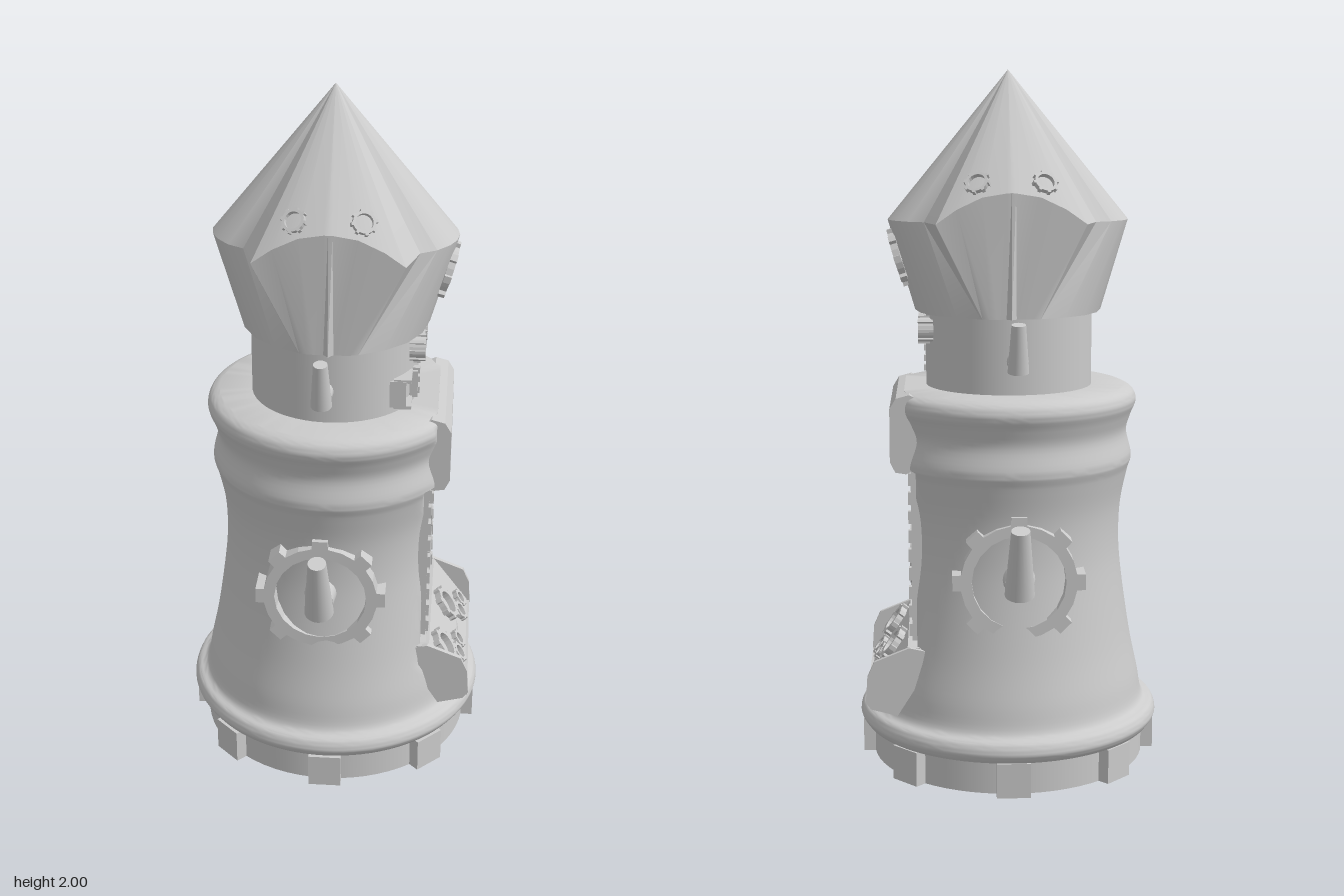
import * as THREE from 'three';
import { toCreasedNormals } from 'three/addons/utils/BufferGeometryUtils.js';

const mat = new THREE.MeshStandardMaterial({ color: 0xcccccc, side: THREE.DoubleSide });
const V = (x, y, z) => new THREE.Vector3(x, y, z);

function add(parent, name, geo, x = 0, y = 0, z = 0) {
  const m = new THREE.Mesh(geo, mat);
  m.name = name;
  m.position.set(x, y, z);
  parent.add(m);
  return m;
}

// Flat toothed ring, extruded along +z
function cogGeometry(outer, inner, depth, toothHeight, teeth = 8) {
  const shape = new THREE.Shape();
  const step = (Math.PI * 2) / teeth;
  for (let i = 0; i < teeth; i++) {
    [[-0.18, 0], [-0.15, 1], [0.15, 1], [0.18, 0], [0.5, 0]].forEach(([f, t], j) => {
      const a = Math.PI / 2 + (i + f) * step, r = outer + t * toothHeight;
      shape[i + j ? 'lineTo' : 'moveTo'](Math.cos(a) * r, Math.sin(a) * r);
    });
  }
  shape.closePath();
  if (inner > 0) {
    const hole = new THREE.Path();
    hole.absarc(0, 0, inner, 0, Math.PI * 2, true);
    shape.holes.push(hole);
  }
  return new THREE.ExtrudeGeometry(shape, { depth, bevelEnabled: false, curveSegments: 10 });
}

// Toothed ring set on a surface, facing along a normal
function cog(parent, name, pos, normal, outer, inner, depth = 0.016) {
  const m = add(parent, name, cogGeometry(outer * 0.86, inner, depth, outer * 0.14), pos.x, pos.y, pos.z);
  m.lookAt(pos.clone().add(normal));
  return m;
}

// Large rosette: rim, inner ring and hub
function rosette(parent, name, pos, normal, r) {
  cog(parent, name + 'Rim', pos, normal, r, r * 0.68, 0.02);
  cog(parent, name + 'InnerRing', pos, normal, r * 0.56, r * 0.32, 0.018);
  cog(parent, name + 'Hub', pos, normal, r * 0.22, 0, 0.016);
}

// Cylinder between two points
function rod(parent, name, a, b, ra, rb) {
  const d = b.clone().sub(a);
  const m = add(parent, name, new THREE.CylinderGeometry(rb, ra, d.length(), 20));
  m.position.copy(a).lerp(b, 0.5);
  m.quaternion.setFromUnitVectors(V(0, 1, 0), d.normalize());
}

// Prism with an x-y profile, running along z
function prism(points, depth) {
  const s = new THREE.Shape(points.map(([x, y]) => new THREE.Vector2(x, y)));
  return new THREE.ExtrudeGeometry(s, { depth, bevelEnabled: false });
}

function bodyGeometry() {
  const side = new THREE.SplineCurve([
    [0.425, 0.1], [0.44, 0.125], [0.43, 0.155], [0.4, 0.175], [0.385, 0.25], [0.36, 0.37],
    [0.335, 0.54], [0.326, 0.65], [0.33, 0.76], [0.35, 0.86], [0.36, 0.9], [0.345, 0.97],
    [0.357, 1.02], [0.372, 1.06], [0.362, 1.09], [0.335, 1.105],
  ].map(([x, y]) => new THREE.Vector2(x, y))).getPoints(75);
  const geo = new THREE.LatheGeometry(
    [new THREE.Vector2(0, 0.1), ...side, new THREE.Vector2(0.2, 1.105)], 96);
  // Flatten the +x side for the panel niche
  const p = geo.attributes.position;
  for (let i = 0; i < p.count; i++) {
    const y = p.getY(i), limit = y > 0.89 ? 0.3 : 0.268;
    if (y > 0.3) p.setX(i, Math.min(p.getX(i), limit));
  }
  return toCreasedNormals(geo, 0.6);
}

// Pointed roof: cone with flat front and back, notched corners and a tapered skirt
function headGeometry() {
  // one quarter from front centre to side: [rim x, y, z, foot x, z]
  const quarter = [
    [0, 1.665, 0.267, 0, 0.28], [0.012, 1.664, 0.265, 0.014, 0.262], [0.08, 1.653, 0.265, 0.04, 0.264],
    [0.15, 1.62, 0.265, 0.06, 0.262], [0.207, 1.58, 0.265, 0.08, 0.257], [0.24, 1.58, 0.155, 0.083, 0.255],
    [0.285, 1.58, 0.128, 0.15, 0.22], [0.32, 1.58, 0.085, 0.21, 0.165], [0.338, 1.58, 0.045, 0.25, 0.09],
    [0.345, 1.58, 0, 0.268, 0],
  ];
  const ring = [];
  for (const [sx, sz] of [[1, 1], [1, -1], [-1, -1], [-1, 1]]) {
    const q = sx * sz > 0 ? quarter : [...quarter].reverse();
    q.slice(0, -1).forEach(([x, y, z, fx, fz]) =>
      ring.push([V(x * sx, y, z * sz), V(fx * sx, 1.32, fz * sz)]));
  }
  const pos = [], apex = V(0, 2, 0), foot = V(0, 1.32, 0);
  const tri = (...pts) => pts.forEach((v) => pos.push(v.x, v.y, v.z));
  ring.forEach(([a, fa], i) => {
    const [b, fb] = ring[(i + 1) % ring.length];
    tri(a, b, apex);
    tri(fa, fb, b);
    tri(fa, b, a);
    tri(fb, fa, foot);
  });
  const geo = new THREE.BufferGeometry();
  geo.setAttribute('position', new THREE.Float32BufferAttribute(pos, 3));
  return toCreasedNormals(geo, 0.5);
}

export function createModel() {
  const model = new THREE.Group();
  model.name = 'tower';
  const out = V(1, 0, 0);

  // Toothed base, flared body and neck
  const base = add(model, 'base', new THREE.CylinderGeometry(0.4, 0.4, 0.1, 64), 0, 0.05, -0.005);
  for (let i = 0; i < 8; i++) {
    const a = (i * Math.PI) / 4;
    const tooth = add(base, 'baseTooth', new THREE.BoxGeometry(0.095, 0.1, 0.06), Math.sin(a) * 0.402, 0, Math.cos(a) * 0.402);
    tooth.rotation.y = a;
  }
  add(model, 'body', bodyGeometry(), 0, 0, -0.008);
  add(model, 'neck', new THREE.CylinderGeometry(0.24, 0.24, 0.24, 64), -0.002, 1.21, -0.006);

  // Head with eyelets front and back and a rosette on the side
  const head = new THREE.Group();
  head.name = 'head';
  head.position.z = -0.008;
  model.add(head);
  add(head, 'roof', headGeometry());
  for (const sx of [-1, 1]) for (const sz of [-1, 1]) {
    const n = V(0.09 * sx, 0.19, 0.225 * sz).normalize();
    cog(head, 'eyelet', V(0.09 * sx, 1.685, 0.227 * sz), n, 0.037, 0.024, 0.018);
  }
  rosette(head, 'headRosette', V(0.305, 1.475, -0.012), V(1, -0.3, 0), 0.085);

  // Front and back: toothed ring and bent pegs
  for (const s of [1, -1]) {
    const side = new THREE.Group();
    side.name = s > 0 ? 'frontFittings' : 'backFittings';
    side.position.set(-0.018, 0, -0.006);
    if (s < 0) side.scale.z = -1;
    model.add(side);
    add(side, 'wheelRing', cogGeometry(0.163, 0.132, 0.09, 0.024), 0, 0.595, 0.255);
    rod(side, 'pegRoot', V(0, 0.6, 0.29), V(0, 0.6, 0.375), 0.05, 0.04);
    rod(side, 'peg', V(0, 0.57, 0.375), V(0, 0.765, 0.435), 0.042, 0.026);
    rod(side, 'neckPegRoot', V(0, 1.2, 0.21), V(0, 1.2, 0.275), 0.033, 0.028);
    rod(side, 'neckPeg', V(0, 1.175, 0.277), V(0, 1.31, 0.303), 0.03, 0.02);
  }

  // Neck side: linked rings, square frame and a beaded strip
  for (const z of [0.07, -0.075]) cog(model, 'linkRing', V(0.215, 1.27, z), out, 0.04, 0.024, 0.045);
  add(model, 'linkBar', new THREE.BoxGeometry(0.02, 0.014, 0.08), 0.245, 1.27, -0.002);
  for (const s of [-1, 1]) {
    add(model, 'frameRail', new THREE.BoxGeometry(0.05, 0.01, 0.08), 0.2, 1.165 + s * 0.04, 0.125);
    add(model, 'framePost', new THREE.BoxGeometry(0.05, 0.08, 0.01), 0.2 - s * 0.015, 1.165, 0.125 + s * 0.037);
  }
  for (let i = 0; i < 4; i++)
    add(model, 'bead', new THREE.BoxGeometry(0.03, 0.018, 0.018), 0.23, 1.14 + i * 0.03, 0.068 - (i % 2) * 0.008);

  // Niche panel with trims and ornaments
  const panel = new THREE.Group();
  panel.name = 'nichePanel';
  panel.position.z = -0.01;
  model.add(panel);
  add(panel, 'panelBack', new THREE.BoxGeometry(0.03, 0.54, 0.4), 0.256, 0.63, 0);
  for (const s of [-1, 1]) {
    add(panel, 'trim', new THREE.BoxGeometry(0.04, 0.54, 0.014), 0.262, 0.63, s * 0.197);
    for (let i = 0; i < 9; i++)
      add(panel, 'trimLink', new THREE.BoxGeometry(0.045, 0.036, 0.022), 0.268, 0.42 + i * 0.055, s * 0.19);
    cog(panel, 'upperRing', V(0.266, 0.82, s * 0.1), out, 0.035, 0.022);
    cog(panel, 'lowerRing', V(0.266, 0.74, s * 0.057), out, 0.03, 0.018);
  }
  rosette(panel, 'panelRosette', V(0.268, 0.605, 0), out, 0.105);

  // Bevelled canopy over the niche
  add(model, 'canopy', prism([[0.25, 1.09], [0.285, 1.105], [0.322, 1.095], [0.34, 1.065], [0.34, 0.915],
    [0.325, 0.885], [0.295, 0.88], [0.25, 0.9]], 0.425), 0, 0, -0.23);

  // Tilted console below the niche
  add(model, 'console', prism([[0.25, 0.38], [0.295, 0.383], [0.405, 0.235], [0.4, 0.215], [0.32, 0.195], [0.25, 0.3]], 0.5), 0, 0, -0.258);
  for (const z of [-0.272, 0.23])
    add(model, 'consoleEnd', prism([[0.245, 0.375], [0.29, 0.385], [0.39, 0.345], [0.41, 0.3], [0.415, 0.225],
      [0.4, 0.205], [0.325, 0.185], [0.265, 0.28]], 0.014), 0, 0, z);
  add(model, 'consoleLip', new THREE.BoxGeometry(0.02, 0.014, 0.5), 0.403, 0.224, -0.008);
  const gable = add(model, 'consoleGable', prism([[-0.245, 0.375], [0.245, 0.375], [0, 0.47]], 0.03), 0.255, 0, -0.008);
  gable.rotation.y = Math.PI / 2;
  const slope = V(0.148, 0.11, 0).normalize();
  for (const z of [0.165, -0.067]) {
    cog(model, 'consoleDial', V(0.333, 0.332, z), slope, 0.057, 0.036, 0.02);
    cog(model, 'consoleKnob', V(0.377, 0.272, z - 0.056), slope, 0.034, 0.02, 0.016);
    cog(model, 'consoleKnob', V(0.374, 0.276, z - 0.122), slope, 0.03, 0.017, 0.016);
  }
  return model;
}
